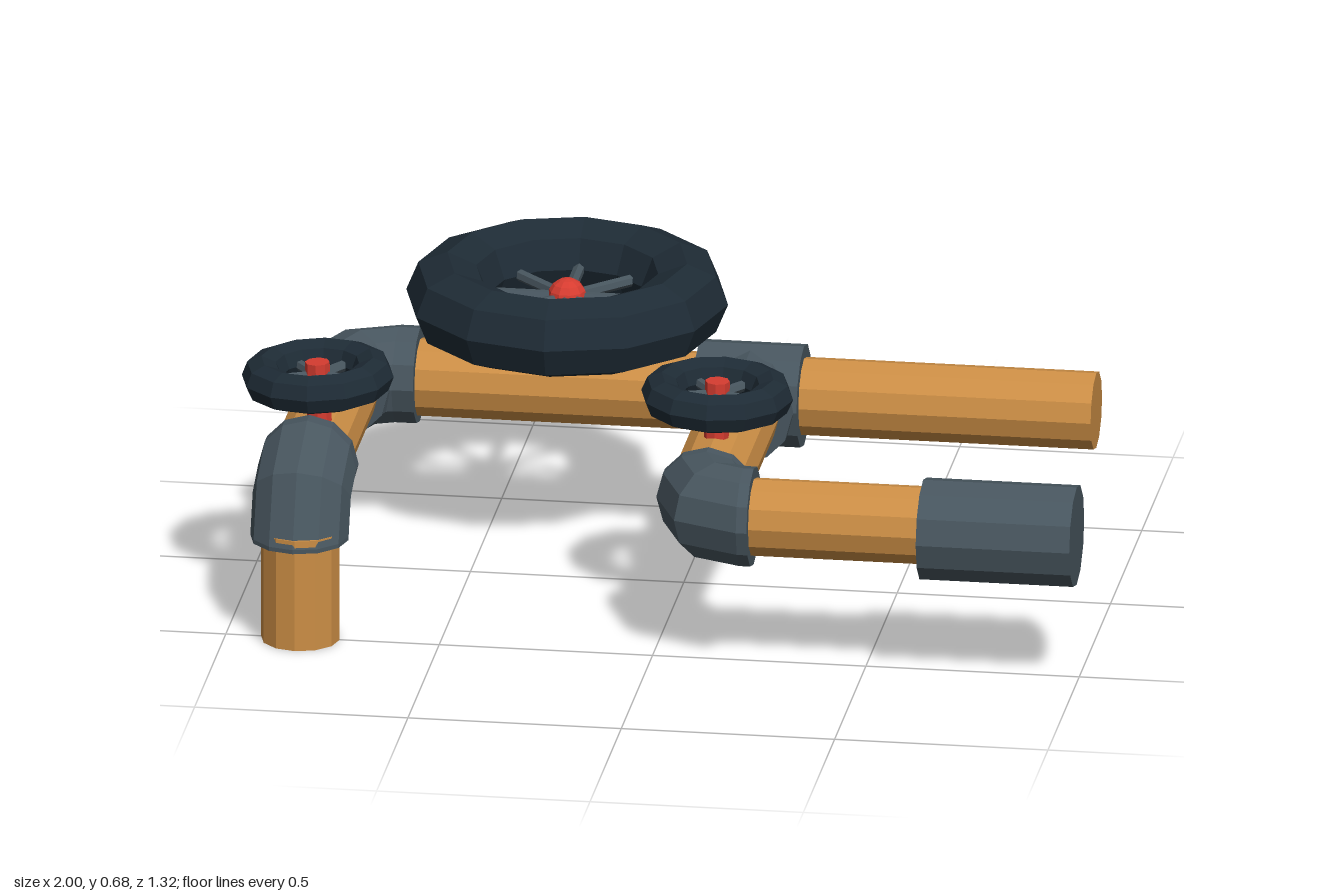
import * as THREE from 'three';

const mat = (color) => new THREE.MeshStandardMaterial({ color, flatShading: true });
const V = (x, y, z) => new THREE.Vector3(x, y, z);
const SIDES = 12;
const H = 0.37; // height of the pipe axes
const PIPE_R = 0.092, FIT_R = 0.12;

// Closed round bar between two points
function bar(name, a, b, r, material, sides = SIDES) {
  const d = b.clone().sub(a);
  const mesh = new THREE.Mesh(new THREE.CylinderGeometry(r, r, d.length(), sides), material);
  mesh.quaternion.setFromUnitVectors(V(0, 1, 0), d.clone().normalize());
  mesh.position.copy(a).add(b).multiplyScalar(0.5);
  mesh.name = name;
  return mesh;
}

// Two-step bend turning from direction A to direction B round a corner, with straight collars s0, s1
function elbow(name, corner, A, B, R, s0, s1, r, material) {
  const centre = corner.clone().addScaledVector(A, -R).addScaledVector(B, R);
  const axis = A.clone().cross(B);
  const stations = [];
  for (const t of [0, Math.PI / 4, Math.PI / 2]) {
    const p = centre.clone().addScaledVector(B, -R * Math.cos(t)).addScaledVector(A, R * Math.sin(t));
    const dir = A.clone().multiplyScalar(Math.cos(t)).addScaledVector(B, Math.sin(t));
    stations.push({ p, dir });
  }
  stations.unshift({ p: stations[0].p.clone().addScaledVector(A, -s0), dir: A });
  stations.push({ p: stations[3].p.clone().addScaledVector(B, s1), dir: B });

  const pos = [], index = [];
  for (const { p, dir } of stations) {
    const v = dir.clone().cross(axis);
    for (let j = 0; j < SIDES; j++) {
      const a = (j / SIDES) * Math.PI * 2;
      pos.push(...p.clone().addScaledVector(axis, r * Math.cos(a)).addScaledVector(v, r * Math.sin(a)));
    }
  }
  const last = stations.length - 1, c0 = pos.length / 3;
  pos.push(...stations[0].p, ...stations[last].p);
  for (let j = 0; j < SIDES; j++) {
    const k = (j + 1) % SIDES;
    for (let i = 0; i < last; i++) {
      const a = i * SIDES, b = a + SIDES;
      index.push(a + j, a + k, b + j, a + k, b + k, b + j);
    }
    index.push(c0, k, j, c0 + 1, last * SIDES + j, last * SIDES + k);
  }
  const g = new THREE.BufferGeometry();
  g.setAttribute('position', new THREE.Float32BufferAttribute(pos, 3));
  g.setIndex(index);
  g.computeVertexNormals();
  const mesh = new THREE.Mesh(g, material);
  mesh.name = name;
  return mesh;
}

export function createModel() {
  const wood = mat(0xcc8e45), grey = mat(0x48565f), rubber = mat(0x1e2b35), red = mat(0xd63c30);
  const model = new THREE.Group();
  model.name = 'pipeFrameWithWheels';

  // Pipes
  model.add(
    bar('mainPipe', V(-0.72, H, -0.285), V(0.925, H, -0.285), PIPE_R, wood),
    bar('leftArmPipe', V(-0.83, H, -0.19), V(-0.83, H, 0.4), PIPE_R, wood),
    bar('downPipe', V(-0.825, 0, 0.5), V(-0.825, 0.27, 0.5), PIPE_R, wood),
    bar('rightArmPipe', V(0.112, H, -0.2), V(0.112, H, 0.46), PIPE_R, wood),
    bar('outletPipe', V(0.2, H, 0.54), V(0.7, H, 0.54), PIPE_R, wood),
  );

  // Fittings
  const tee = new THREE.Group();
  tee.name = 'teeFitting';
  tee.add(
    bar('teeSleeve', V(-0.005, H, -0.285), V(0.24, H, -0.285), FIT_R + 0.002, grey),
    bar('teeBranch', V(0.118, H, -0.285), V(0.118, H, -0.132), FIT_R - 0.005, grey),
  );
  model.add(
    tee,
    bar('endCap', V(0.64, 0.362, 0.54), V(1, 0.362, 0.54), FIT_R, grey),
    elbow('backElbow', V(-0.83, H + 0.005, -0.285), V(0, 0, -1), V(1, 0, 0), 0.12, 0.01, 0.05, 0.115, grey),
    elbow('downElbow', V(-0.83, H, 0.48), V(0, 0, 1), V(0, -1, 0), 0.12, 0.04, 0.01, 0.115, grey),
    elbow('frontElbow', V(0.118, H, 0.54), V(0, 0, 1), V(1, 0, 0), 0.1, 0.03, 0.025, 0.118, grey),
  );

  // Wheels lying flat on the pipes
  function wheel(name, at, R, tube, spokes, spokeR, tilt) {
    const g = new THREE.Group();
    g.name = name;
    const tyre = new THREE.Mesh(new THREE.TorusGeometry(R, tube, 8, 12), rubber);
    tyre.rotation.x = Math.PI / 2;
    tyre.name = 'tyre';
    g.add(tyre);
    for (let i = 0; i < spokes; i++) {
      const a = (i / spokes) * Math.PI * 2 + (spokes === 5 ? 0.3 : 0);
      g.add(bar('spoke', V(0, 0, 0), V(Math.cos(a) * R, 0, Math.sin(a) * R), spokeR, grey, 6));
    }
    g.position.copy(at);
    g.rotation.z = tilt;
    model.add(g);
    return g;
  }
  const big = wheel('bigWheel', V(-0.315, 0.585, -0.285), 0.281, 0.096, 8, 0.014, 0);
  const hub = new THREE.Mesh(new THREE.SphereGeometry(0.046, 10, 8), red);
  hub.name = 'hub';
  big.add(hub, bar('hubPost', V(0, -0.14, 0), V(0, 0, 0), 0.025, red, 8));

  for (const [name, x, z, tilt] of [['leftSmallWheel', -0.82, 0.257, 0.035], ['rightSmallWheel', 0.115, 0.25, -0.02]]) {
    const small = wheel(name, V(x, 0.559, z), 0.131, 0.047, 5, 0.013, tilt);
    small.add(bar('hubPost', V(0, -0.12, 0), V(0, 0.035, 0), 0.029, red, 8));
  }
  return model;
}
